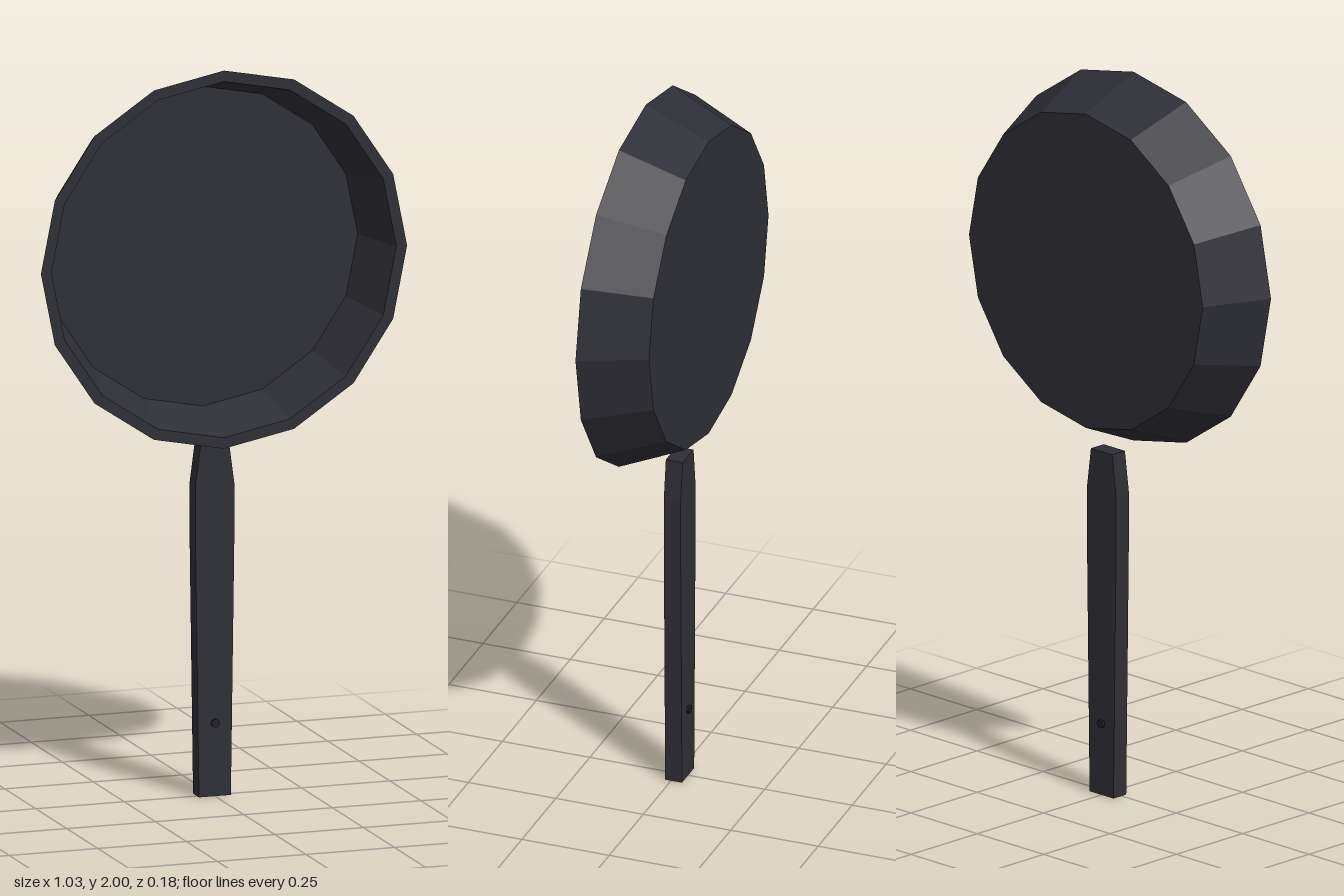
import * as THREE from 'three';

export function createModel() {
  const model = new THREE.Group();
  const iron = new THREE.MeshStandardMaterial({ color: 0x2e2e36, flatShading: true });
  iron.name = 'dark iron';
  const rivetMetal = new THREE.MeshStandardMaterial({ color: 0x1e1e23, flatShading: true });
  rivetMetal.name = 'black rivet';

  const add = (name, geometry, material, y, z = 0) => {
    const mesh = new THREE.Mesh(geometry, material);
    mesh.name = name;
    mesh.position.set(0, y, z);
    model.add(mesh);
  };

  // Sixteen-sided dish: back, sloped wall, flat rim, inner wall, floor
  const profile = [
    [0, -0.09], [0.44, -0.09], [0.517, 0.09], [0.487, 0.09], [0.437, -0.08], [0, -0.08],
  ].map(([r, h]) => new THREE.Vector2(r, h));
  const dish = new THREE.LatheGeometry(profile, 16).rotateX(Math.PI / 2);
  add('pan', dish, iron, 1.483);

  // Flat handle, mirrored from its right-hand outline
  const half = [[0.045, 0], [0.055, 0.72], [0.055, 0.85], [0.04, 0.963]];
  const outline = [...half, ...half.map(([x, y]) => [-x, y]).reverse()];
  const shape = new THREE.Shape(outline.map(([x, y]) => new THREE.Vector2(x, y)));
  const handle = new THREE.ExtrudeGeometry(shape, { depth: 0.048, bevelEnabled: false });
  add('handle', handle, iron, 0, -0.031);

  // Pin through the handle near its end
  const pin = new THREE.CylinderGeometry(0.012, 0.012, 0.062, 8).rotateX(Math.PI / 2);
  add('handleRivet', pin, rivetMetal, 0.2, -0.007);

  return model;
}
